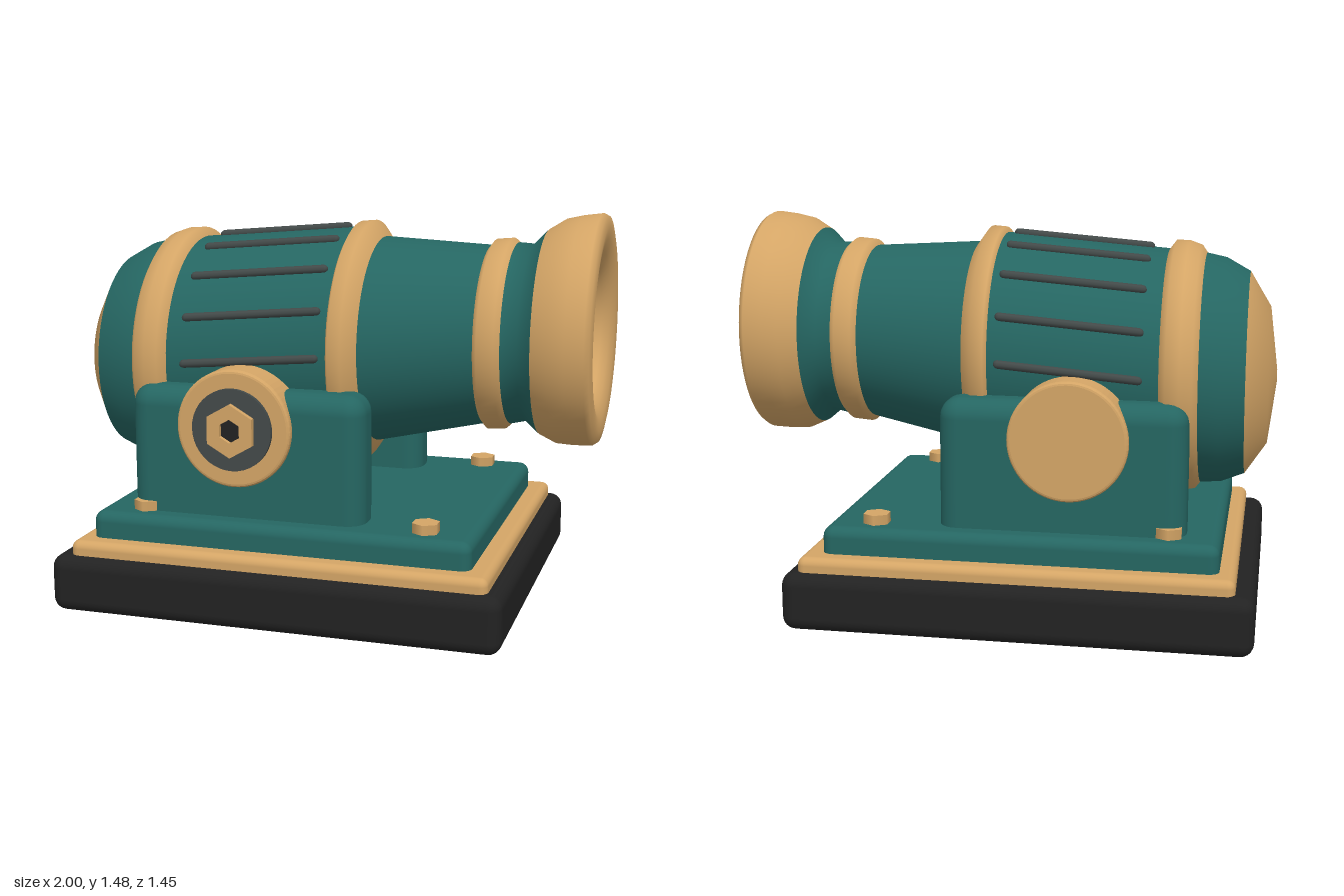
import * as THREE from 'three';
import { RoundedBoxGeometry } from 'three/addons/geometries/RoundedBoxGeometry.js';

const material = (name, color, side = THREE.FrontSide) => {
  const m = new THREE.MeshStandardMaterial({ color, side });
  m.name = name;
  return m;
};

export function createModel() {
  const model = new THREE.Group();
  model.name = 'cannon';
  // the barrel is an open shell, so its colours show on both sides
  const teal = material('teal', 0x256662, THREE.DoubleSide);
  const brass = material('brass', 0xd4a566, THREE.DoubleSide);
  const black = material('black', 0x222222);
  const grey = material('dark grey', 0x434a49);

  const add = (parent, name, geometry, mat, x = 0, y = 0, z = 0) => {
    const mesh = new THREE.Mesh(geometry, mat);
    mesh.name = name;
    mesh.position.set(x, y, z);
    parent.add(mesh);
    return mesh;
  };

  // stepped base, each slab given by its extents
  const slab = (name, mat, x0, x1, y0, y1, z0, z1, radius) =>
    add(model, name, new RoundedBoxGeometry(x1 - x0, y1 - y0, z1 - z0, 3, radius), mat,
      (x0 + x1) / 2, (y0 + y1) / 2, (z0 + z1) / 2);
  slab('basePlinth', black, -0.955, 0.755, 0, 0.217, -0.725, 0.725, 0.05);
  slab('baseTrim', brass, -0.885, 0.7, 0.18, 0.27, -0.685, 0.685, 0.03);
  slab('baseDeck', teal, -0.825, 0.625, 0.22, 0.37, -0.615, 0.615, 0.04);

  // hex bolts at the deck corners
  for (const x of [-0.64, 0.44]) {
    for (const z of [-0.51, 0.51]) {
      add(model, 'deckBolt', new THREE.CylinderGeometry(0.052, 0.052, 0.06, 6).toNonIndexed(), brass, x, 0.377, z);
    }
  }

  // cheeks and trunnion discs on both sides
  const disc = new THREE.Shape().absarc(0, 0, 0.207, 0, Math.PI * 2);
  for (const side of [1, -1]) {
    const name = side > 0 ? 'front' : 'back';
    const z0 = side * 0.437;
    slab(name + 'Cheek', teal, -0.7, 0.207, 0.27, 0.847, z0 - 0.097, z0 + 0.097, 0.075);
    const trunnion = add(model, name + 'Trunnion', new THREE.ExtrudeGeometry(disc, {
      depth: 0.224, bevelEnabled: true, bevelSize: 0.013, bevelThickness: 0.013, bevelSegments: 3, curveSegments: 32,
    }), brass, -0.275, 0.71, side * 0.323);
    if (side < 0) trunnion.rotation.y = Math.PI;
  }

  // washer and hollow hex nut on the front trunnion
  const hexPoints = (r) => Array.from({ length: 6 }, (_, i) => {
    const a = Math.PI / 6 + i * Math.PI / 3;
    return new THREE.Vector2(r * Math.cos(a), r * Math.sin(a));
  });
  add(model, 'trunnionWasher', new THREE.CylinderGeometry(0.153, 0.153, 0.03, 40).rotateX(Math.PI / 2), grey, -0.275, 0.71, 0.56);
  const nutShape = new THREE.Shape(hexPoints(0.1));
  nutShape.holes.push(new THREE.Path(hexPoints(0.044)));
  add(model, 'trunnionNut', new THREE.ExtrudeGeometry(nutShape, { depth: 0.025, bevelEnabled: false }), brass, -0.275, 0.71, 0.572);
  add(model, 'nutSocket', new THREE.CylinderGeometry(0.06, 0.06, 0.006, 24).rotateX(Math.PI / 2), black, -0.275, 0.71, 0.576);

  // barrel runs along x and rises towards the muzzle, its rings staying upright
  const barrel = new THREE.Group();
  barrel.name = 'barrel';
  model.add(barrel);
  const rise = new THREE.Matrix4().set(
    1, 0, 0, 0,
    0.086, 1, 0, 0.965,
    0, 0, 1, 0,
    0, 0, 0, 1);
  // each section is a list of [x, radius]
  const sections = [
    ['breechCap', brass, [[-1, 0.024], [-0.97, 0.26], [-0.89, 0.385]]],
    ['breechShoulder', teal, [[-0.89, 0.385], [-0.8, 0.428], [-0.725, 0.438]]],
    ['breechBand', brass, [[-0.725, 0.438], [-0.705, 0.466], [-0.66, 0.478], [-0.61, 0.476], [-0.585, 0.44]]],
    ['chamber', teal, [[-0.585, 0.44], [0.04, 0.44]]],
    ['middleBand', brass, [[0.04, 0.44], [0.052, 0.46], [0.1, 0.46], [0.145, 0.395]]],
    ['chase', teal, [[0.145, 0.395], [0.56, 0.338]]],
    ['neckBand', brass, [[0.56, 0.338], [0.578, 0.36], [0.64, 0.36], [0.66, 0.342]]],
    ['muzzleFlare', teal, [[0.66, 0.342], [0.72, 0.333], [0.775, 0.385]]],
    ['muzzle', brass, [[0.775, 0.385], [0.84, 0.42], [0.9, 0.428], [0.97, 0.431], [0.988, 0.42],
      [0.996, 0.38], [0.99, 0.335], [0.972, 0.295], [0.945, 0.268], [0.91, 0.255]]],
  ];
  for (const [name, mat, points] of sections) {
    const profile = points.map(([x, r]) => new THREE.Vector2(r, x));
    add(barrel, name, new THREE.LatheGeometry(profile, 64).rotateZ(-Math.PI / 2).applyMatrix4(rise), mat);
  }

  // sixteen ribs around the chamber
  for (let i = 0; i < 16; i++) {
    const a = i * Math.PI / 8;
    const rib = new THREE.CapsuleGeometry(0.016, 0.51, 3, 8).rotateZ(-Math.PI / 2)
      .translate(-0.257, 0.443 * Math.cos(a), 0.443 * Math.sin(a)).applyMatrix4(rise);
    add(barrel, 'chamberRib', rib, grey);
  }
  return model;
}
